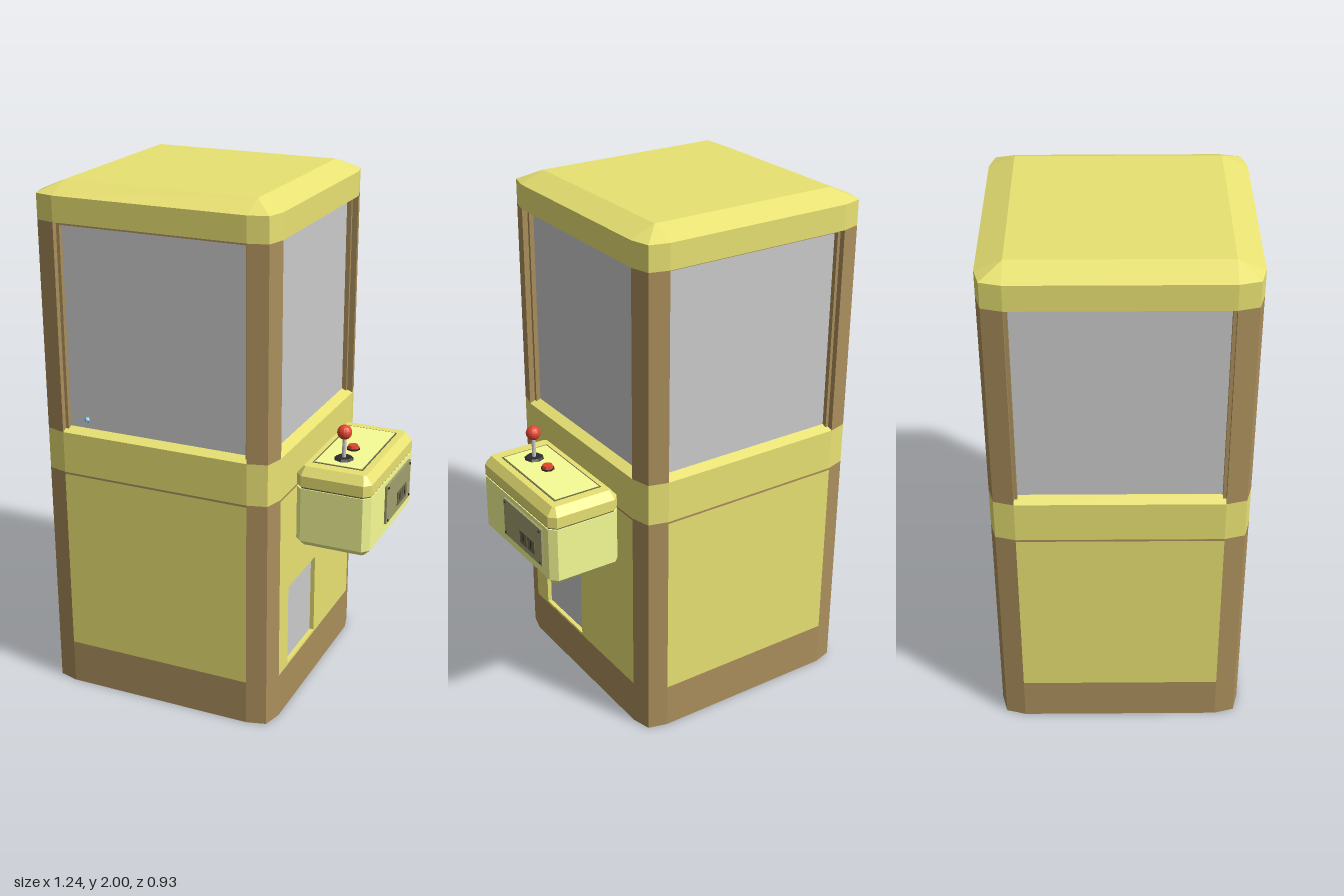
import * as THREE from 'three';

const mat = (color) => new THREE.MeshStandardMaterial({ color, flatShading: true });
const YELLOW = mat(0xe9e273), PALE = mat(0xf6fc95), BROWN = mat(0xab8f5c), GREY = mat(0xcccccc);
const RED = mat(0xe4462f), BLACK = mat(0x2c2c2c), OLIVE = mat(0xa29f6d), DARK = mat(0x6d6a4b), BLUE = mat(0x7cc4ee);

function add(parent, name, geometry, material, x = 0, y = 0, z = 0) {
  const mesh = new THREE.Mesh(geometry, material);
  mesh.name = name;
  mesh.position.set(x, y, z);
  parent.add(mesh);
  return mesh;
}

const box = (w, h, d) => new THREE.BoxGeometry(w, h, d);

// Skin a stack of convex rings (each { y, pts: [[x, z], ...] }) and cap both ends
function loft(rings) {
  const v = [], n = rings[0].pts.length;
  const P = (r, i) => [r.pts[i % n][0], r.y, r.pts[i % n][1]];
  for (let k = 0; k + 1 < rings.length; k++) {
    const lo = rings[k], up = rings[k + 1];
    for (let i = 0; i < n; i++) {
      v.push(...P(lo, i), ...P(up, i), ...P(lo, i + 1));
      v.push(...P(lo, i + 1), ...P(up, i), ...P(up, i + 1));
    }
  }
  const first = rings[0], last = rings[rings.length - 1];
  for (let i = 1; i + 1 < n; i++) {
    v.push(...P(first, 0), ...P(first, i), ...P(first, i + 1));
    v.push(...P(last, 0), ...P(last, i + 1), ...P(last, i));
  }
  const g = new THREE.BufferGeometry();
  g.setAttribute('position', new THREE.Float32BufferAttribute(v, 3));
  g.computeVertexNormals();
  return g;
}

// Cabinet plan: a square with softened corners
const H = 0.467, IN = 0.373;
const corner = [[H, IN], [0.447, 0.447], [IN, H]];
const plan = [];
for (let k = 0; k < 4; k++) {
  for (const [x, z] of corner) plan.push([[x, z], [-z, x], [-x, -z], [z, -x]][k]);
}
const clampTo = (pts, m) => pts.map((p) => p.map((c) => Math.max(-m, Math.min(m, c))));
const prism = (pts, y0, y1) => loft([{ y: y0, pts }, { y: y1, pts }]);

// Rectangle with cut corners
function cutRect(a, b, c) {
  return [[a, b - c], [a - c, b], [c - a, b], [-a, b - c], [-a, c - b], [c - a, -b], [a - c, -b], [a, c - b]];
}

function rectPath(target, x0, x1, y0, y1) {
  target.moveTo(x0, y0);
  target.lineTo(x1, y0);
  target.lineTo(x1, y1);
  target.lineTo(x0, y1);
  target.closePath();
  return target;
}

function buildCabinet() {
  const cabinet = new THREE.Group();
  cabinet.name = 'cabinet';
  const BASE = 0.175, BELT = 0.905, SILL = 1.07, HEAD = 1.865;

  add(cabinet, 'base', prism(plan, 0.002, BASE), BROWN);
  add(cabinet, 'baseRim', new THREE.ExtrudeGeometry(
    (() => {
      const s = new THREE.Shape(plan.map(([x, z]) => new THREE.Vector2(x, -z)));
      s.holes.push(rectPath(new THREE.Path(), -IN, IN, -IN, IN));
      return s;
    })(), { depth: 0.002, bevelEnabled: false }), BROWN).rotation.x = -Math.PI / 2;
  add(cabinet, 'floorPlate', box(2 * IN, 0.002, 2 * IN), YELLOW, 0, 0.001, 0);
  add(cabinet, 'beltSeam', prism(plan.map((p) => p.map((c) => c * 1.001)), BELT - 0.004, BELT + 0.004), BROWN);
  add(cabinet, 'belt', prism(plan, BELT, SILL), YELLOW);
  add(cabinet, 'roof', loft([
    { y: HEAD, pts: plan }, { y: 1.96, pts: plan }, { y: 2, pts: clampTo(plan, IN) },
  ]), YELLOW);

  const postPlan = [...corner, [IN, IN]];
  for (let k = 0; k < 4; k++) {
    const side = new THREE.Group();
    side.name = ['frontSide', 'leftSide', 'backSide', 'rightSide'][k];
    side.rotation.y = (k * Math.PI) / 2;
    cabinet.add(side);
    add(side, 'lowerPost', prism(postPlan, BASE, BELT), BROWN);
    add(side, 'upperPost', prism(postPlan, SILL, HEAD), BROWN);

    // Lower panel; the control side has the prize opening
    const shape = rectPath(new THREE.Shape(), -IN, IN, BASE, BELT);
    if (k === 1) {
      shape.holes.push(rectPath(new THREE.Path(), -0.287, -0.01, 0.185, 0.512));
      add(side, 'prizeDoor', box(0.29, 0.34, 0.01), GREY, -0.149, 0.348, H - 0.022);
    }
    add(side, 'lowerPanel', new THREE.ExtrudeGeometry(shape, { depth: 0.03, bevelEnabled: false }), YELLOW, 0, 0, H - 0.03);

    // Recessed window with sloping sill, header lip and side trims
    add(side, 'windowGlass', box(2 * IN, HEAD - SILL, 0.01), GREY, 0, (HEAD + SILL) / 2, H - 0.045);
    const slope = new THREE.Shape([[0, 0], [0.045, 0], [0.045, 0.017]].map((p) => new THREE.Vector2(...p)));
    const sill = add(side, 'windowSill', new THREE.ExtrudeGeometry(slope, { depth: 2 * IN, bevelEnabled: false }), YELLOW, -IN, SILL, H);
    sill.rotation.y = Math.PI / 2;
    add(side, 'windowHeader', box(2 * IN, 0.012, 0.02), BROWN, 0, HEAD - 0.006, H - 0.032);
    for (const s of [-1, 1]) {
      add(side, 'windowTrim', box(0.012, HEAD - SILL, 0.02), BROWN, s * (IN - 0.006), (HEAD + SILL) / 2, H - 0.032);
    }
  }
  // Tip of a prize touching the front glass
  add(cabinet, 'prizeTip', new THREE.IcosahedronGeometry(0.013, 0), BLUE, -0.29, 1.118, H - 0.04);
  cabinet.position.x = -0.152;
  return cabinet;
}

function buildConsole() {
  const console_ = new THREE.Group();
  console_.name = 'controlConsole';
  const A = 0.146, B = 0.264, C = 0.025;
  const full = cutRect(A, B, C), inset = cutRect(A - C, B - C, 0.008);
  const seam = cutRect(A - 0.004, B - 0.004, C);
  add(console_, 'consoleBody', loft([{ y: 0.665, pts: inset }, { y: 0.69, pts: full }, { y: 0.903, pts: full }]), PALE);
  add(console_, 'consoleSeam', prism(seam, 0.9, 0.914), DARK);
  add(console_, 'consoleLid', loft([{ y: 0.91, pts: full }, { y: 0.953, pts: full }, { y: 0.985, pts: inset }]), YELLOW);

  // Control panel on the lid
  add(console_, 'panelBorder', box(0.196, 0.002, 0.4), DARK, -0.003, 0.9855, -0.003);
  add(console_, 'controlPanel', box(0.184, 0.004, 0.388), PALE, -0.003, 0.986, -0.003);

  // Joystick and button
  const stick = new THREE.Group();
  stick.name = 'joystick';
  stick.position.set(-0.005, 0.988, 0.124);
  add(stick, 'joystickBase', new THREE.CylinderGeometry(0.03, 0.038, 0.008, 8), BLACK, 0, 0.004, 0);
  add(stick, 'joystickShaft', new THREE.CylinderGeometry(0.007, 0.008, 0.1, 10), GREY, 0, 0.05, 0);
  add(stick, 'joystickBall', new THREE.SphereGeometry(0.028, 14, 10), RED, 0, 0.106, 0);
  console_.add(stick);
  add(console_, 'buttonRing', new THREE.CylinderGeometry(0.026, 0.026, 0.006, 8), BLACK, -0.005, 0.99, 0.021);
  add(console_, 'button', new THREE.CylinderGeometry(0.019, 0.023, 0.016, 8), RED, -0.005, 0.997, 0.021);

  // Coin plate with two slots and corner screws
  const plate = new THREE.Group();
  plate.name = 'coinPlate';
  plate.position.set(A + 0.004, 0.808, -0.061);
  add(plate, 'coinBackplate', box(0.01, 0.155, 0.285), OLIVE);
  for (const z of [-0.066, -0.009]) {
    add(plate, 'coinSlotFrame', box(0.006, 0.055, 0.052), DARK, 0.005, -0.025, z);
    add(plate, 'coinSlit', box(0.004, 0.032, 0.006), BLACK, 0.007, -0.022, z);
  }
  for (const y of [-0.066, 0.066]) {
    for (const z of [-0.13, 0.13]) {
      add(plate, 'screw', new THREE.CylinderGeometry(0.005, 0.005, 0.006, 8), BLACK, 0.006, y, z).rotation.z = Math.PI / 2;
    }
  }
  console_.add(plate);
  console_.position.set(0.459, 0, -0.026);
  return console_;
}

export function createModel() {
  const model = new THREE.Group();
  model.name = 'clawMachine';
  model.add(buildCabinet(), buildConsole());
  return model;
}
